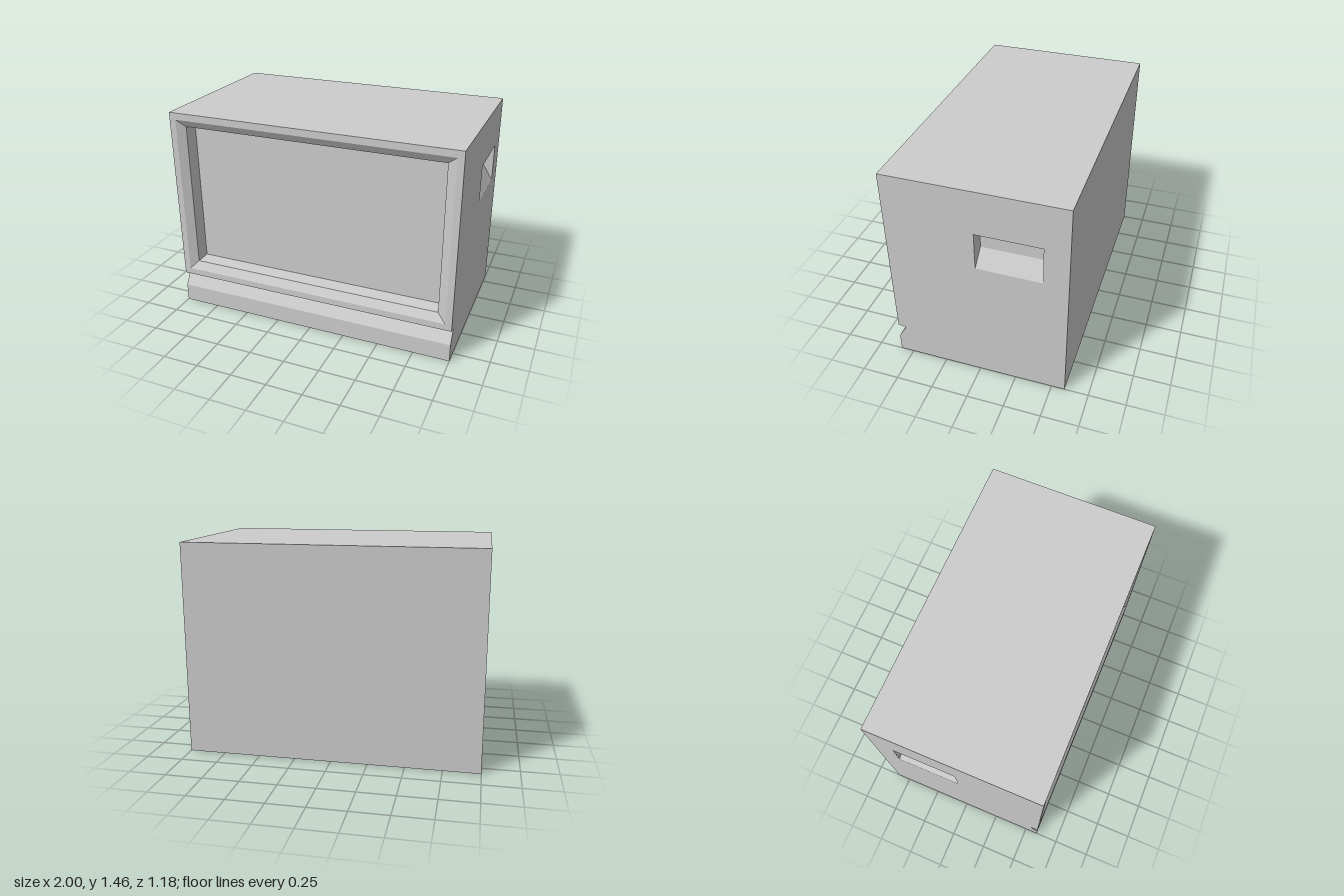
import * as THREE from 'three';

const W = 1, H = 1.455, D = 0.59;

// Flat-shaded geometry from four-cornered faces (counter-clockwise from outside)
function quads(faces) {
  const pos = [];
  for (const [a, b, c, d] of faces) pos.push(...a, ...b, ...c, ...a, ...c, ...d);
  const g = new THREE.BufferGeometry();
  g.setAttribute('position', new THREE.Float32BufferAttribute(pos, 3));
  g.computeVertexNormals();
  return g;
}

// Rectangle corners at depth z
const rect = (l, r, b, t, z) => [[l, b, z], [r, b, z], [r, t, z], [l, t, z]];

// Recess going back through successive rectangles, closed by a floor
function recess(rings) {
  const faces = [rings[rings.length - 1]];
  for (let k = 0; k + 1 < rings.length; k++) {
    for (let i = 0; i < 4; i++) {
      const j = (i + 1) % 4;
      faces.push([rings[k][i], rings[k][j], rings[k + 1][j], rings[k + 1][i]]);
    }
  }
  return quads(faces);
}

// Flat panel with one rectangular opening
function panel(outline, opening) {
  const shape = new THREE.Shape(outline.map(([x, y]) => new THREE.Vector2(x, y)));
  shape.holes.push(new THREE.Path(opening.map(([x, y]) => new THREE.Vector2(x, y))));
  return new THREE.ShapeGeometry(shape);
}

export function createModel() {
  const model = new THREE.Group();
  const casing = new THREE.MeshStandardMaterial({ color: 0xcccccc });
  casing.name = 'casing grey';

  const add = (parent, name, geometry) => {
    const mesh = new THREE.Mesh(geometry, casing);
    mesh.name = name;
    parent.add(mesh);
  };

  // Side profile as [z, y], with the notch across the lower front
  const profile = [
    [D, 0.23], [D - 0.055, 0.22], [D, 0.125], [D, 0], [-D, 0], [-D, H], [D, H],
  ];

  // Notch, plinth, bottom, back and top
  const shell = [];
  for (let i = 0; i + 1 < profile.length; i++) {
    const [z0, y0] = profile[i], [z1, y1] = profile[i + 1];
    shell.push([[-W, y0, z0], [-W, y1, z1], [W, y1, z1], [W, y0, z0]]);
  }
  add(model, 'casingShell', quads(shell));

  // Front bezel with a bevelled, recessed screen
  const bezelEdge = rect(-0.955, 0.955, 0.275, 1.408, D);
  add(model, 'frontBezel', panel(rect(-W, W, 0.23, H, D), bezelEdge).translate(0, 0, D));
  add(model, 'screenRecess', recess([
    bezelEdge,
    rect(-0.897, 0.897, 0.332, 1.357, D - 0.032),
    rect(-0.889, 0.889, 0.341, 1.346, D - 0.127),
  ]));

  // Mirrored sides, each with a scooped hand grip
  for (const s of [1, -1]) {
    const side = new THREE.Group();
    side.name = s > 0 ? 'leftSide' : 'rightSide';
    side.position.x = s * W;
    side.rotation.y = s * Math.PI / 2;
    const ring = (z0, z1, b, t, depth) =>
      rect(Math.min(-s * z0, -s * z1), Math.max(-s * z0, -s * z1), b, t, depth);
    const grip = ring(0, -0.43, 0.89, 1.15, 0);
    add(side, 'sidePanel', panel(profile.map(([z, y]) => [-s * z, y]), grip));
    add(side, 'handGrip', recess([grip, ring(-0.013, -0.418, 1.01, 1.146, -0.07)]));
    model.add(side);
  }

  return model;
}
